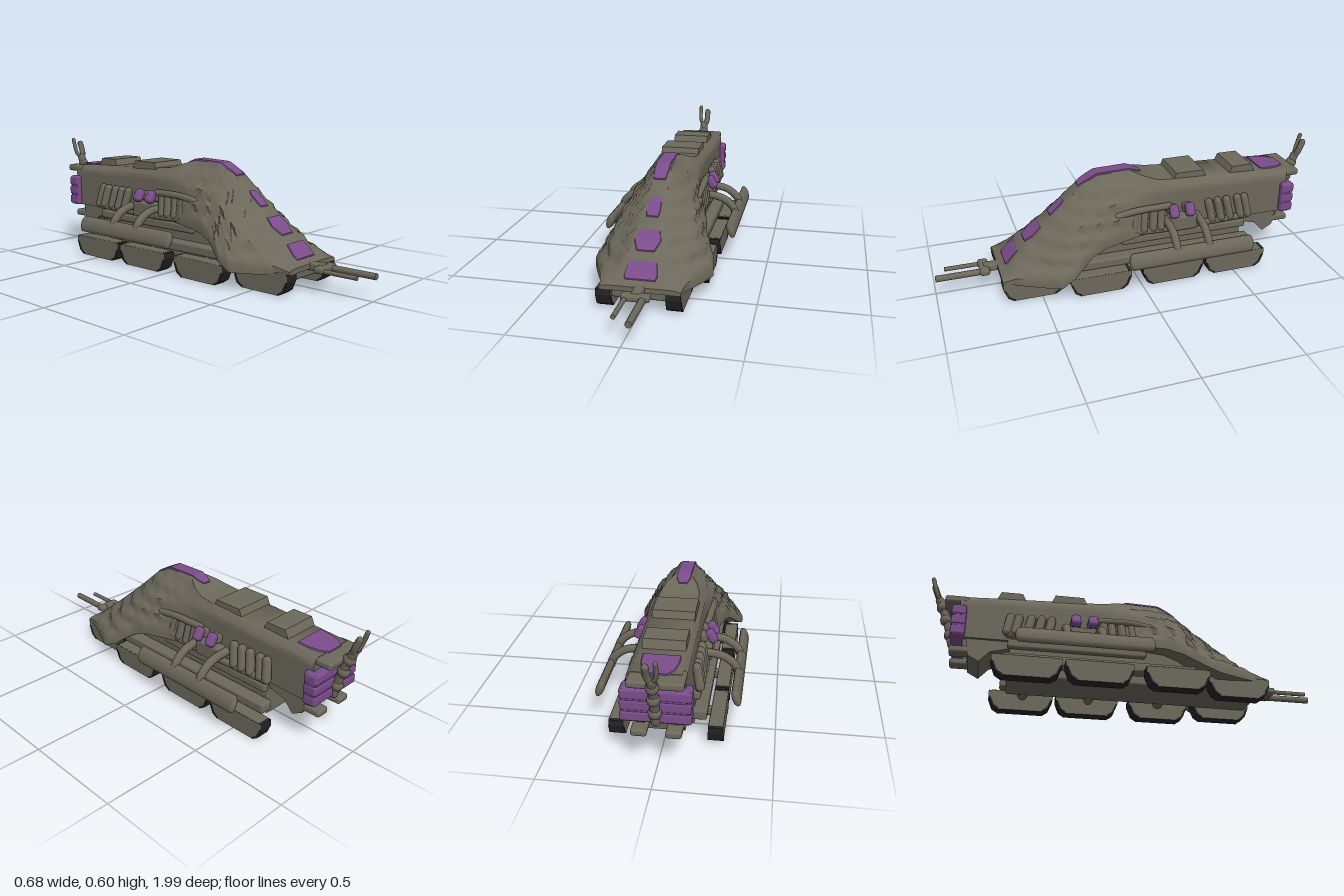
import * as THREE from 'three';
import { toCreasedNormals } from 'three/addons/utils/BufferGeometryUtils.js';
import { RoundedBoxGeometry } from 'three/addons/geometries/RoundedBoxGeometry.js';

const mat = (name, color) => Object.assign(new THREE.MeshStandardMaterial({ color }), { name });

// Hull stations: z, roof half-width, roof y, shoulder half-width, shoulder y, base half-width, base y
const stations = [
  [0.69, 0.14, 0.122, 0.175, 0.118, 0.185, 0.098],
  [0.65, 0.11, 0.143, 0.165, 0.132, 0.19, 0.098],
  [0.6, 0.09, 0.193, 0.165, 0.155, 0.205, 0.09],
  [0.5, 0.07, 0.275, 0.18, 0.2, 0.25, 0.085],
  [0.42, 0.055, 0.345, 0.197, 0.245, 0.285, 0.085],
  [0.35, 0.047, 0.408, 0.187, 0.3, 0.272, 0.12],
  [0.25, 0.038, 0.5, 0.16, 0.375, 0.225, 0.195],
  [0.17, 0.037, 0.543, 0.147, 0.41, 0.208, 0.225],
  [0, 0.038, 0.548, 0.132, 0.445, 0.172, 0.24],
  [-0.06, 0.075, 0.525, 0.128, 0.45, 0.155, 0.24],
  [-0.12, 0.095, 0.505, 0.125, 0.46, 0.135, 0.24],
  [-0.22, 0.1, 0.495, 0.125, 0.46, 0.125, 0.24],
  [-0.65, 0.1, 0.478, 0.125, 0.45, 0.125, 0.24],
  [-0.84, 0.105, 0.465, 0.125, 0.445, 0.125, 0.24],
];

function stationAt(z) {
  let i = 0;
  while (i < stations.length - 2 && stations[i + 1][0] > z) i++;
  const a = stations[i], b = stations[i + 1];
  const t = THREE.MathUtils.clamp((a[0] - z) / (a[0] - b[0]), 0, 1);
  return a.map((v, k) => v + (b[k] - v) * t);
}

// Skins closed rings of points, ordered from front to back, and caps both ends
function loft(rings, crease) {
  const n = rings[0].length, pos = rings.flat(2), idx = [];
  for (let r = 0; r < rings.length - 1; r++) {
    for (let i = 0; i < n; i++) {
      const a = r * n + i, b = r * n + (i + 1) % n, c = a + n, d = b + n;
      idx.push(a, c, b, b, c, d);
    }
  }
  const last = (rings.length - 1) * n;
  for (let i = 1; i < n - 1; i++) idx.push(0, i, i + 1, last, last + i + 1, last + i);
  const g = new THREE.BufferGeometry();
  g.setAttribute('position', new THREE.Float32BufferAttribute(pos, 3));
  g.setIndex(idx);
  return toCreasedNormals(g, crease);
}

// Extrudes an outline given as [z, y] points sideways, centred on x = 0
function sideExtrude(points, width) {
  const shape = new THREE.Shape(points.map(p => new THREE.Vector2(...p)));
  const g = new THREE.ExtrudeGeometry(shape, { depth: width, bevelEnabled: false });
  return g.rotateY(-Math.PI / 2).translate(width / 2, 0, 0);
}

export function createModel() {
  const root = new THREE.Group();
  root.name = 'trackedCarrier';
  const body = mat('drabHull', 0x6c685b);
  const purple = mat('purplePanel', 0x7b4c8b);
  const black = mat('blackTread', 0x252525);

  const add = (name, geo, material, x = 0, y = 0, z = 0) => {
    const m = new THREE.Mesh(geo, material);
    m.name = name;
    m.position.set(x, y, z);
    root.add(m);
    return m;
  };
  const box = (name, w, h, d, x, y, z, material = body, r = 0.012) =>
    add(name, new RoundedBoxGeometry(w, h, d, 2, Math.min(r, w / 2.1, h / 2.1, d / 2.1)), material, x, y, z);
  const tube = (name, pts, r) => {
    const curve = new THREE.CatmullRomCurve3(pts.map(p => new THREE.Vector3(...p)));
    add(name, new THREE.TubeGeometry(curve, 16, r, 8), body);
    for (const p of [pts[0], pts[pts.length - 1]]) add(name + 'End', new THREE.SphereGeometry(r, 8, 6), body, ...p);
  };

  // Hull: sloping armoured nose, layered with ridges, running into a boxy rear
  const rings = [];
  for (let k = 0; k <= 90; k++) {
    const z = 0.69 - k * 1.53 / 90;
    const [, tw, ty, mw, my, bw, by] = stationAt(z);
    const rough = THREE.MathUtils.smoothstep(z, -0.1, 0.1) * (1 - THREE.MathUtils.smoothstep(z, 0.55, 0.68));
    const side = [];
    const lip = by + Math.min(0.04, (my - by) * 0.7);
    const curve = [[tw, ty], [mw, my], [bw, lip]];
    for (let s = 0; s < 2; s++) {
      for (let j = 0; j < 6; j++) {
        const t = j / 6, a = curve[s], b = curve[s + 1];
        const x = a[0] + (b[0] - a[0]) * t, y = a[1] + (b[1] - a[1]) * t;
        const wave = s + t > 0 ? 0.01 * rough * Math.sin(y * 95) * (0.7 + 0.3 * Math.sin(z * 70)) : 0;
        side.push([x + wave, y + wave * 0.5]);
      }
    }
    side.push([bw, lip], [bw, by]);
    rings.push([
      ...side.slice().reverse().map(([x, y]) => [x, y, z]),
      ...side.map(([x, y]) => [-x, y, z]),
    ]);
  }
  add('hull', loft(rings, 0.95), body);

  // Purple panels that follow the roof line: front z, back z, half-widths from front to back
  const panels = [
    ['nosePanel', 0.655, 0.592, [0.072, 0.077, 0.074, 0.07, 0.064]],
    ['lowerPanel', 0.548, 0.465, [0.042, 0.052, 0.063, 0.057, 0.05]],
    ['upperPanel', 0.412, 0.34, [0.028, 0.032, 0.032, 0.031, 0.025]],
    ['crestPanel', 0.262, 0.066, [0.03, 0.036, 0.036, 0.036, 0.036]],
    ['crestPanelRear', 0.066, -0.066, [0.036, 0.036, 0.036, 0.034, 0.02]],
    ['rearRoofPanel', -0.71, -0.85, [0.084, 0.084, 0.08, 0.07, 0.045]],
  ];
  for (const [name, z0, z1, widths] of panels) {
    const strip = [];
    for (let k = 0; k <= 12; k++) {
      const t = k / 12, z = z0 + (z1 - z0) * t, y = stationAt(z)[2];
      const i = Math.min(3, Math.floor(t * 4)), w = widths[i] + (widths[i + 1] - widths[i]) * (t * 4 - i);
      strip.push([[w, y - 0.002, z], [w * 0.95, y + 0.006, z], [-w * 0.95, y + 0.006, z], [-w, y - 0.002, z]]);
    }
    add(name, loft(strip, 0.7), purple, -0.006);
  }

  // Roof humps with sloped ends, and the rear overhang
  const hump = (name, z0, z1, y0, y1, width) => {
    const points = [[z1, y0], [z0, y0], [z0 - 0.025, y1], [z1 + 0.025, y1]];
    add(name, sideExtrude(points, width), body, -0.006);
  };
  hump('roofHump', -0.205, -0.4, 0.465, 0.522, 0.2);
  hump('rearRoofHump', -0.515, -0.67, 0.465, 0.516, 0.19);
  box('rearLip', 0.24, 0.035, 0.12, -0.006, 0.445, -0.855);

  // Chassis, axles and belly
  box('chassis', 0.25, 0.19, 1.0, -0.006, 0.15, -0.09);
  box('frontBelly', 0.26, 0.06, 0.3, -0.006, 0.085, 0.52);
  for (const z of [0.52, 0.21, -0.16, -0.5]) {
    const axle = add('axle', new THREE.CylinderGeometry(0.025, 0.025, z > 0.4 ? 0.3 : 0.42, 10), body, 0, 0.08, z);
    axle.rotation.z = Math.PI / 2;
  }

  // Rear belly bracket
  const bracket = [[-0.52, 0.25], [-0.6, 0.2], [-0.68, 0.18], [-0.73, 0.125], [-0.785, 0.155], [-0.8, 0.25]];
  add('rearBracket', sideExtrude(bracket, 0.22), body);

  // Track pods: front z, length, sideways offset
  const pods = [[0.537, 0.306, 0.16], [0.213, 0.312, 0.222], [-0.165, 0.325, 0.226], [-0.507, 0.328, 0.226]];

  for (const s of [-1, 1]) {
    for (const [z, len, px] of pods) {
      const h = len / 2, x = s * px - 0.008;
      // Outline tapers toward the ground; drab side plates, black running surface
      const outline = [[-h + 0.05, 0], [h - 0.05, 0], [h - 0.02, 0.02], [h, 0.07], [h, 0.1], [-h, 0.1], [-h, 0.07], [-h + 0.02, 0.02]];
      add('trackPod', sideExtrude(outline, 0.068), [body, black], x, 0, z);
      box('trackCover', 0.066, 0.014, len - 0.03, x, 0.098, z, body, 0.006);
      // Black tread wraps slightly round the lower corners
      for (const e of [-1, 1]) {
        const shoe = [[h - 0.05, 0], [h - 0.02, 0.02], [h, 0.07], [h - 0.012, 0.066], [h - 0.03, 0.024], [h - 0.055, 0.007]]
          .map(([a, b]) => [a * e, b]);
        add('treadShoe', sideExtrude(shoe, 0.072), black, x, 0, z);
      }
    }
    box('sideBeam', 0.07, 0.05, 1.0, s * 0.155, 0.125, -0.12);
    box('sideSill', 0.035, 0.045, 0.68, s * 0.14, 0.215, -0.26);

    // Outrigger rail with two bent arms
    const rail = add('outriggerRail', new THREE.CapsuleGeometry(0.02, 0.62, 4, 10), body, s * 0.315, 0.187, -0.24);
    rail.geometry.rotateX(Math.PI / 2).scale(1, 2.2, 1).rotateZ(s * 0.33);
    for (const z of [-0.33, -0.16]) {
      tube('outriggerArm', [[s * 0.12, 0.295, z], [s * 0.2, 0.288, z], [s * 0.245, 0.274, z], [s * 0.293, 0.235, z], [s * 0.312, 0.19, z]], 0.021);
    }

    // Engine pipes and ribs along the flank
    tube('flankPipe', [[s * 0.15, 0.36, 0.1], [s * 0.152, 0.375, 0], [s * 0.145, 0.375, -0.17]], 0.018);
    tube('lowerFlankPipe', [[s * 0.155, 0.27, 0.08], [s * 0.155, 0.255, -0.1], [s * 0.15, 0.26, -0.6]], 0.018);
    for (const z of [0.06, 0.01, -0.04, -0.09, -0.13, -0.4, -0.45, -0.5, -0.56, -0.6]) {
      const rib = add('flankRib', new THREE.CapsuleGeometry(0.022, 0.09, 4, 8), body, s * 0.148, 0.315, z);
      rib.rotation.set(z < -0.3 ? 0.18 : -0.1, 0, s * 0.18);
    }
    box('engineBlock', 0.07, 0.08, 0.15, s * 0.145, 0.28, -0.245);

    // Slanted purple lamps on short bases
    for (const z of [-0.19, -0.275]) {
      box('flankLamp', 0.042, 0.07, 0.048, s * 0.174, 0.353, z, purple, 0.016).rotation.z = s * 0.55;
      box('lampBase', 0.05, 0.045, 0.05, s * 0.133, 0.35, z);
    }
    box('rearFoot', 0.07, 0.035, 0.12, s * 0.075, 0.185, -0.815);
    box('rearFootStrut', 0.05, 0.08, 0.05, s * 0.075, 0.22, -0.79);
  }

  // Purple grooved rear block
  box('rearBlock', 0.298, 0.165, 0.066, 0, 0.321, -0.838, purple);
  for (const y of [0.268, 0.321, 0.374]) box('rearBand', 0.305, 0.048, 0.068, 0, y, -0.842, purple, 0.01);

  // Tail mast with a forked tip
  tube('tailMast', [[0, 0.25, -0.868], [0, 0.34, -0.89], [0, 0.43, -0.922], [0, 0.49, -0.948]], 0.022);
  for (const y of [0.3, 0.38, 0.45]) {
    add('mastKnuckle', new THREE.SphereGeometry(0.03, 10, 8), body, 0, y, -0.875 - (y - 0.28) * 0.33);
  }
  tube('mastProngThin', [[0, 0.48, -0.945], [-0.022, 0.52, -0.965], [-0.026, 0.593, -0.988]], 0.011);
  tube('mastProngThick', [[0, 0.48, -0.945], [0.016, 0.52, -0.96], [0.017, 0.57, -0.98]], 0.016);

  // Twin front barrels on a mount
  box('barrelMount', 0.13, 0.032, 0.05, 0, 0.108, 0.755);
  box('barrelNeck', 0.05, 0.04, 0.14, 0, 0.108, 0.69);
  for (const [x, len, r] of [[-0.045, 0.19, 0.011], [0.034, 0.24, 0.016]]) {
    const barrel = add('barrel', new THREE.CylinderGeometry(r, r, len, 10), body, x, 0.104, 0.755 + len / 2);
    barrel.rotation.x = Math.PI / 2;
  }
  return root;
}
